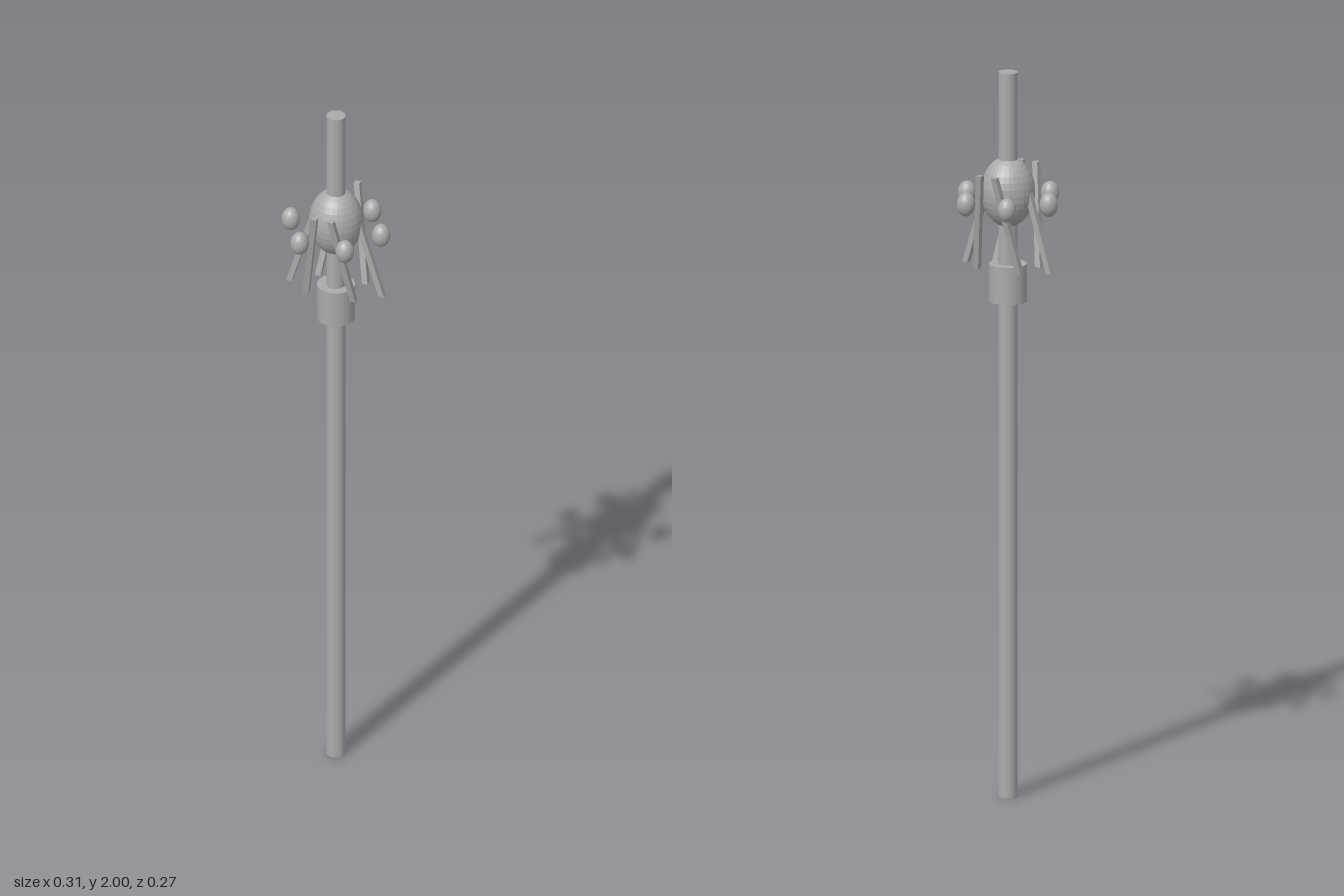
import * as THREE from 'three';

export function createModel() {
  const model = new THREE.Group();
  const grey = new THREE.MeshStandardMaterial({ color: 0xaaaaaa });
  grey.name = 'lightGrey';
  grey.flatShading = true;

  const add = (name, geometry, x = 0, y = 0, z = 0) => {
    const mesh = new THREE.Mesh(geometry, grey);
    mesh.name = name;
    mesh.position.set(x, y, z);
    model.add(mesh);
    return mesh;
  };

  // Box leaning from a bottom point to a top point, with level ends
  const leaningBar = (bottom, top, width) => {
    const height = top.y - bottom.y;
    const geometry = new THREE.BoxGeometry(width, height, width);
    const p = geometry.attributes.position;
    for (let i = 0; i < p.count; i++) {
      const end = p.getY(i) > 0 ? top : bottom;
      p.setXYZ(i, p.getX(i) + end.x, end.y, p.getZ(i) + end.z);
    }
    geometry.computeVertexNormals();
    return geometry;
  };

  // Shaft and collar
  add('shaft', new THREE.CylinderGeometry(0.026, 0.026, 2, 32), 0, 1, 0);
  add('collar', new THREE.CylinderGeometry(0.051, 0.051, 0.103, 32), 0, 1.42, 0);

  // Egg-shaped head
  const head = new THREE.SphereGeometry(0.073, 32, 16).scale(1, 1.32, 1);
  add('head', head, 0, 1.67, 0);

  // Ring of six small beads
  const bead = new THREE.SphereGeometry(0.025, 32, 16).scale(1, 1.32, 1);
  for (let i = 0; i < 6; i++) {
    const a = (i * Math.PI) / 3;
    add('bead', bead, 0.128 * Math.cos(a), 1.65, 0.128 * Math.sin(a));
  }

  // Six leaning bars: one on each side, and one in each corner
  const v = (x, y, z) => new THREE.Vector3(x, y, z);
  for (const sx of [-1, 1]) {
    add('sideBar', leaningBar(v(sx * 0.131, 1.46, 0), v(sx * 0.047, 1.73, 0), 0.016));
    for (const sz of [-1, 1]) {
      add('cornerBar', leaningBar(v(sx * 0.067, 1.46, sz * 0.049), v(sx * 0.023, 1.733, sz * 0.107), 0.016));
    }
  }
  return model;
}
